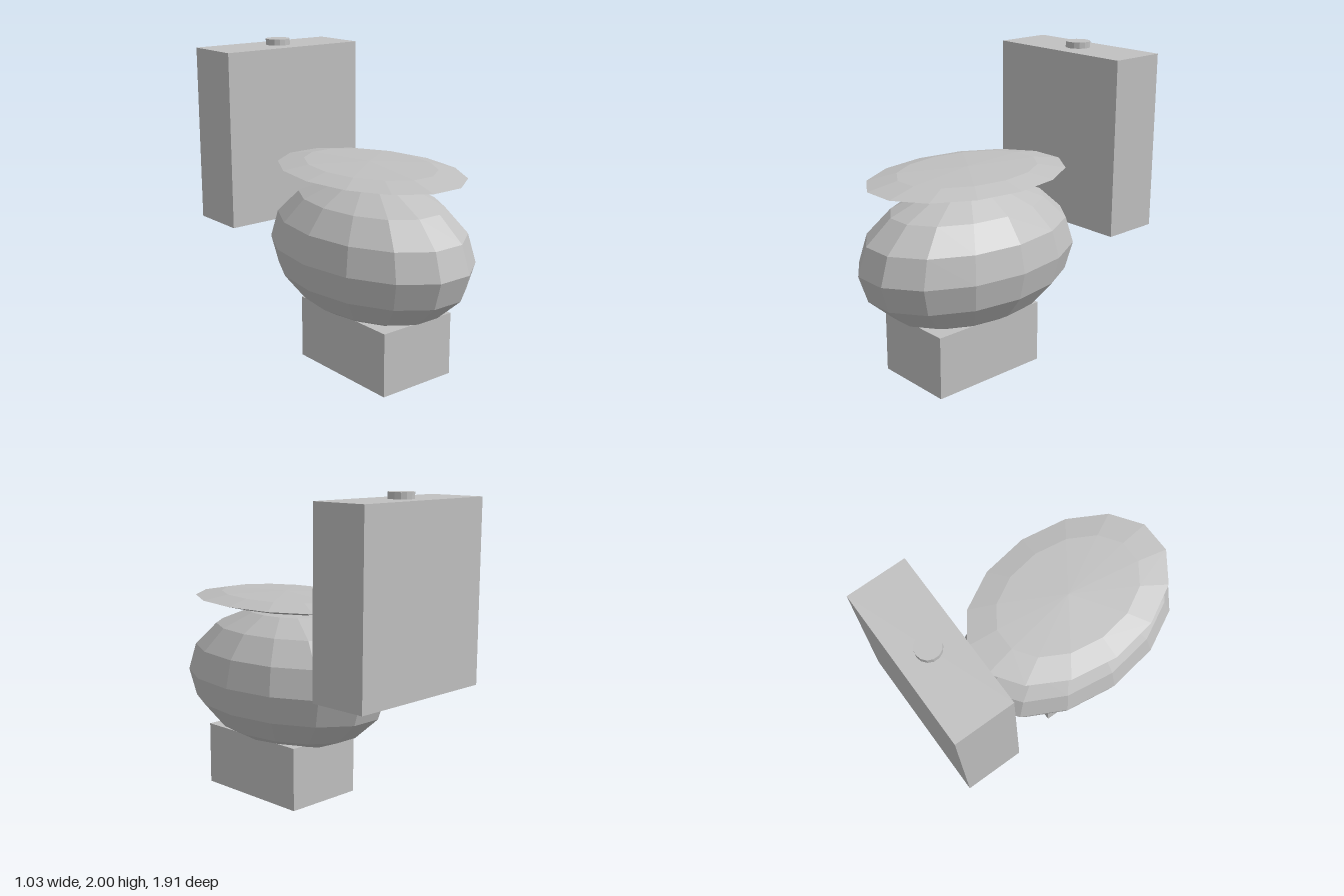
import * as THREE from 'three';

export function createModel() {
  const model = new THREE.Group();
  model.name = 'toilet';
  const ceramic = new THREE.MeshStandardMaterial({ color: 0xc0c0c0, flatShading: true });
  ceramic.name = 'grey ceramic';

  function add(name, geometry, x, y, z) {
    const mesh = new THREE.Mesh(geometry, ceramic);
    mesh.name = name;
    mesh.position.set(x, y, z);
    model.add(mesh);
  }

  // Low-poly ellipsoid with 14 sides
  const ellipsoid = (rx, ry, rz, rows) =>
    new THREE.SphereGeometry(1, 14, rows).scale(rx, ry, rz);

  // Foot under the bowl
  add('base', new THREE.BoxGeometry(0.545, 0.407, 0.815), 0, 0.2035, 0.243);

  // Rounded bowl and the thin lid hovering on top of it
  add('bowl', ellipsoid(0.515, 0.46, 0.787, 8), 0, 0.77, 0.187);
  add('lid', ellipsoid(0.485, 0.051, 0.703, 4), 0, 1.281, 0.187);

  // Cistern with its flush button
  add('tank', new THREE.BoxGeometry(1.03, 1.14, 0.38), 0, 1.39, -0.765);
  add('flushButton', new THREE.CylinderGeometry(0.08, 0.08, 0.05, 14), 0, 1.975, -0.767);

  return model;
}
